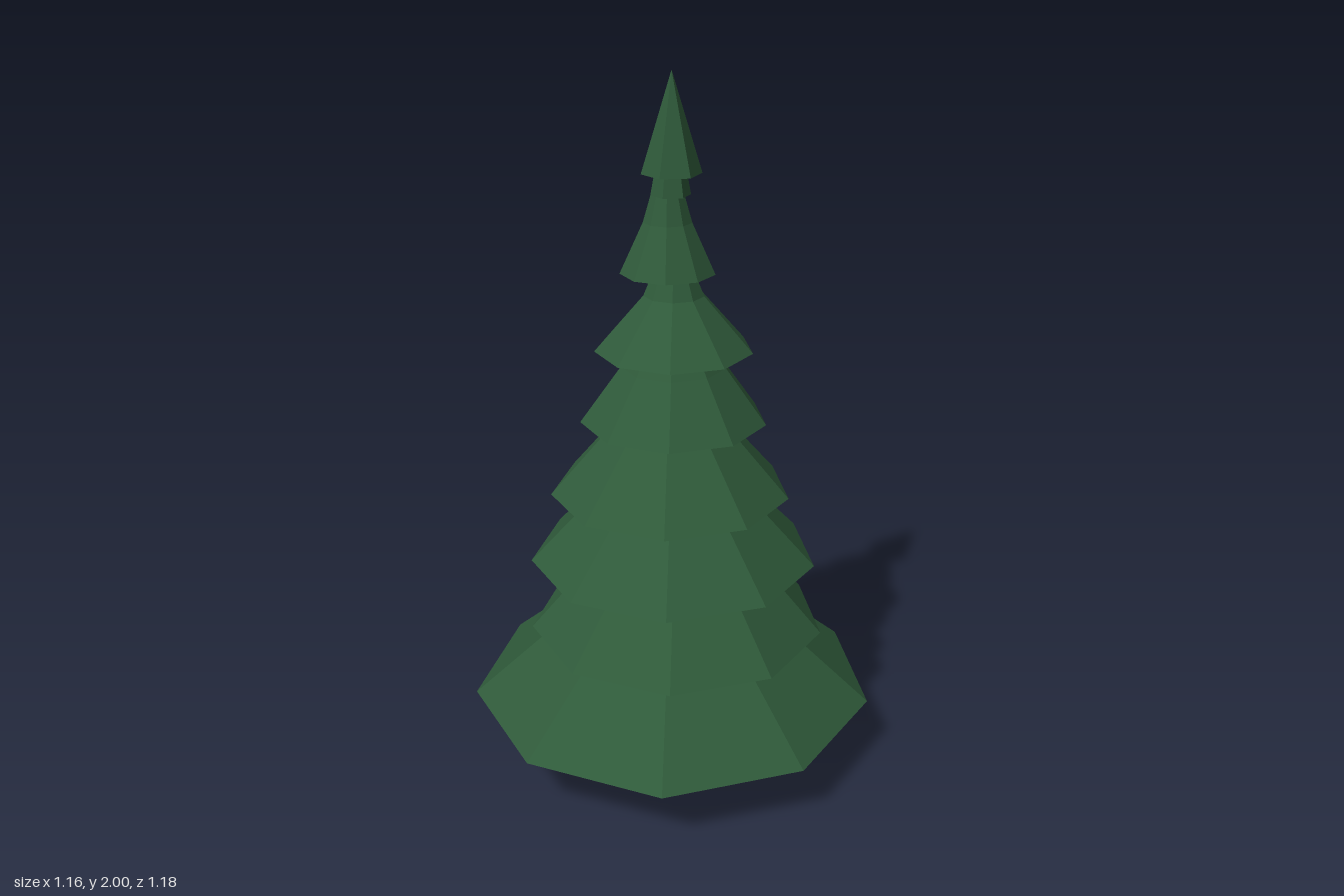
import * as THREE from 'three';

const foliage = new THREE.MeshStandardMaterial({ color: 0x2f5a3a });
foliage.name = 'foliage green';
const bark = new THREE.MeshStandardMaterial({ color: 0x47301f });
bark.name = 'bark brown';

// Closed, faceted skirt turned from [radius, y] pairs, first corner pointing to +x
function skirt(name, sides, x, z, profile) {
  const points = [[0, profile[0][1]], ...profile].map(([r, y]) => new THREE.Vector2(r, y));
  const geometry = new THREE.LatheGeometry(points, sides).toNonIndexed();
  geometry.computeVertexNormals();
  geometry.rotateY(Math.PI / 2);
  const mesh = new THREE.Mesh(geometry, foliage);
  mesh.name = name;
  mesh.position.set(x, 0, z);
  return mesh;
}

export function createModel() {
  const tree = new THREE.Group();
  tree.name = 'pineTree';

  // Trunk
  const trunk = new THREE.Mesh(new THREE.CylinderGeometry(0.038, 0.041, 0.34, 10), bark);
  trunk.name = 'trunk';
  trunk.position.set(-0.025, 0.17, 0);
  tree.add(trunk);

  // Branch tiers from the bottom up: x, z, profile
  const tiers = [
    [-0.018, 0.003, [[0.597, 0.175], [0, 0.69]]],
    [-0.016, -0.013, [[0.435, 0.385], [0, 0.88]]],
    [-0.03, -0.01, [[0.42, 0.6], [0, 1.04]]],
    [-0.024, 0.005, [[0.346, 0.815], [0, 1.21]]],
    [-0.028, -0.01, [[0.267, 1.03], [0.15, 1.19], [0.1, 1.27], [0, 1.45]]],
    [-0.013, 0, [[0.223, 1.245], [0.085, 1.4], [0.06, 1.46], [0, 1.7]]],
    [-0.034, 0.005, [[0.133, 1.46], [0.068, 1.6], [0.03, 1.73], [0, 1.85]]],
  ];
  tiers.forEach(([x, z, profile], i) => tree.add(skirt(`branchTier${i + 1}`, 9, x, z, profile)));

  // Tip with a smaller cone tucked inside it
  tree.add(skirt('innerTip', 6, -0.022, 0.004, [[0.055, 1.675], [0.006, 1.94], [0, 1.945]]));
  tree.add(skirt('treeTip', 6, -0.027, -0.003, [[0.083, 1.73], [0, 2]]));

  return tree;
}
